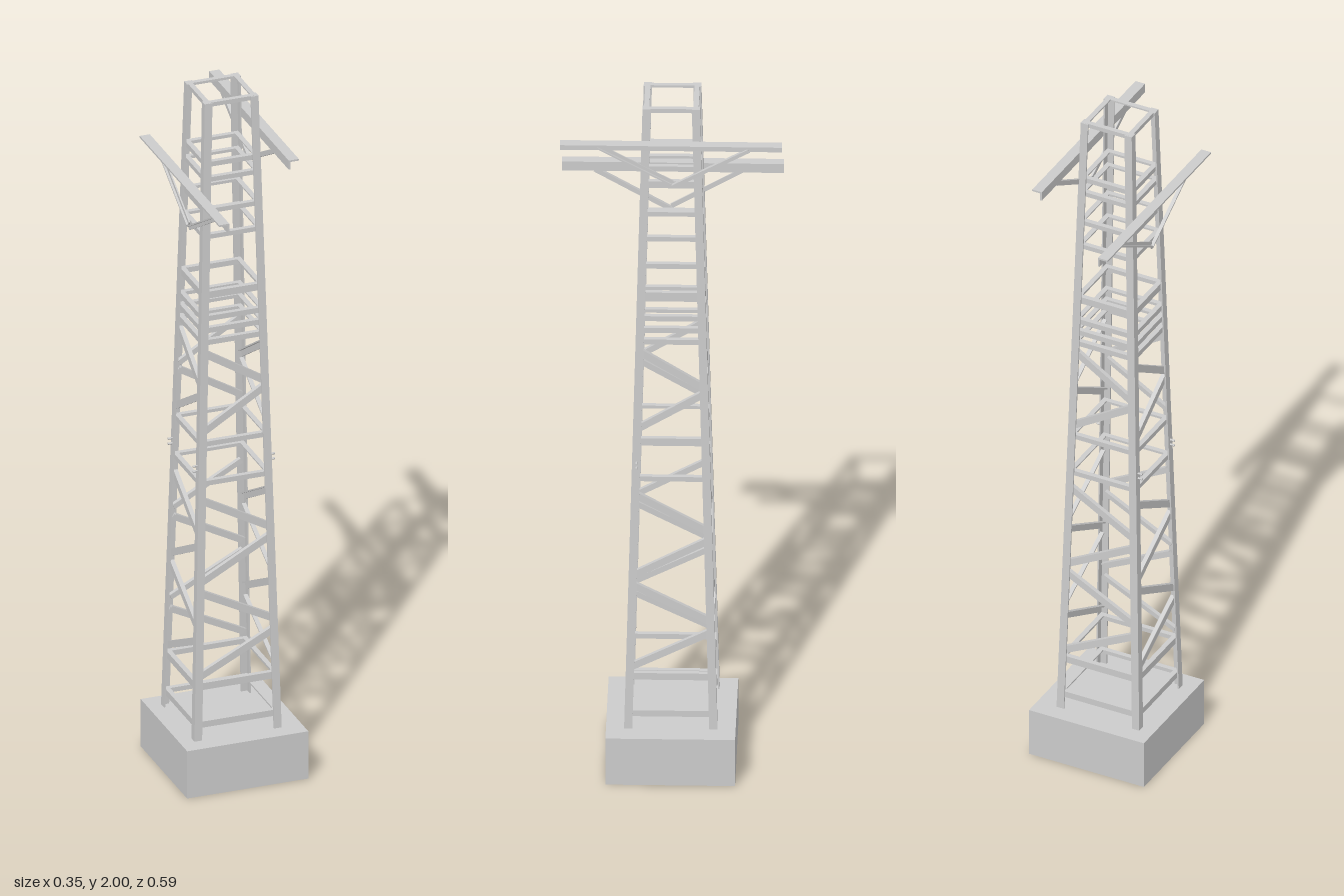
import * as THREE from 'three';

const V = (x, y, z) => new THREE.Vector3(x, y, z);
const grey = new THREE.MeshStandardMaterial({ color: 0xcccccc, flatShading: true });

function addMesh(parent, name, geometry) {
  const mesh = new THREE.Mesh(geometry, grey);
  mesh.name = name;
  parent.add(mesh);
  return mesh;
}

// L-section bar from a to b: flange w1 along u, flange w2 along (direction x u)
function angleBar(parent, name, a, b, u, w1, w2, t = 0.004) {
  const dir = b.clone().sub(a);
  const length = dir.length();
  dir.normalize();
  const uu = u.clone().addScaledVector(dir, -u.dot(dir)).normalize();
  const vv = dir.clone().cross(uu);
  const section = new THREE.Shape([
    [0, 0], [w1, 0], [w1, t], [t, t], [t, w2], [0, w2],
  ].map(([x, y]) => new THREE.Vector2(x, y)));
  const geometry = new THREE.ExtrudeGeometry(section, { depth: length, bevelEnabled: false });
  geometry.applyMatrix4(new THREE.Matrix4().makeBasis(uu, vv, dir).setPosition(a));
  return addMesh(parent, name, geometry);
}

// half width of the tapering tower at height y
const half = (y) => 0.125 - ((y - 0.14) / 1.86) * 0.048;

// one lattice side facing +z
function buildSide() {
  const side = new THREE.Group();
  side.name = 'latticeSide';
  const inset = 0.004;

  // [top height, plate depth] of the horizontal bars
  const rails = [
    [2.0, 0.012], [1.827, 0.014], [1.782, 0.013], [1.69, 0.013], [1.615, 0.013],
    [1.448, 0.02], [1.377, 0.015], [1.342, 0.015], [1.307, 0.015],
    [1.01, 0.014], [0.895, 0.014], [0.305, 0.02], [0.193, 0.018],
  ];
  for (const [y, depth] of rails) {
    const h = half(y) - inset;
    angleBar(side, 'horizontalBar', V(-h, y, h), V(h, y, h), V(0, -1, 0), depth, 0.014);
  }

  // zigzag diagonals, alternating falling and rising
  const zigzag = (heights) => heights.forEach((y, i) => {
    const fall = i % 2 === 0 ? 1 : -1;
    const end = (s) => {
      const yy = y - s * fall * 0.053;
      const h = half(yy) - inset;
      return V(s * (h - 0.008), yy, h);
    };
    const a = end(-1), b = end(1);
    const dir = b.clone().sub(a).normalize();
    const u = V(dir.y, -dir.x, 0).normalize();
    const width = 0.02;
    a.addScaledVector(u, -width / 2);
    b.addScaledVector(u, -width / 2);
    angleBar(side, 'diagonalBar', a, b, u, width, 0.012);
  });
  zigzag([1.215, 1.09]);
  zigzag([0.785, 0.65, 0.515, 0.375]);
  return side;
}

// cross arm along z with its two struts, on the side given by sx
function buildArm(name, sx, x, top, strutFoot) {
  const arm = new THREE.Group();
  arm.name = name;
  angleBar(arm, 'armBeam', V(x, top, -0.297 * sx), V(x, top, 0.297 * sx),
    V(0, -1, 0), 0.027, 0.029, 0.005);
  for (const s of [-1, 1]) {
    angleBar(arm, 'armStrut', V(x, strutFoot, 0), V(x, top - 0.018, 0.205 * s),
      V(sx, 0, 0), 0.01, 0.013);
  }
  return arm;
}

export function createModel() {
  const model = new THREE.Group();
  model.name = 'latticeTower';

  // foundation
  addMesh(model, 'foundationBlock', new THREE.BoxGeometry(0.347, 0.14, 0.347))
    .position.set(0, 0.07, 0);

  const tower = new THREE.Group();
  tower.name = 'tower';
  tower.position.x = -0.009;
  model.add(tower);

  // corner legs
  const h0 = half(0.13), h1 = half(2);
  for (const sx of [-1, 1]) {
    for (const sz of [-1, 1]) {
      const foot = V(sx * h0, 0.13, sz * h0);
      const head = V(sx * h1, 2, sz * h1);
      const [a, b] = sx === sz ? [head, foot] : [foot, head];
      angleBar(tower, 'cornerLeg', a, b, V(-sx, 0, 0), 0.022, 0.022);
    }
  }

  // four lattice sides
  for (let k = 0; k < 4; k++) {
    const side = buildSide();
    side.rotation.y = (k * Math.PI) / 2;
    tower.add(side);
  }

  // small bolts on three legs
  const hb = half(0.93);
  for (const [sx, sz] of [[-1, 1], [-1, -1], [1, 1]]) {
    for (const y of [0.925, 0.94]) {
      const bolt = addMesh(tower, 'bolt', new THREE.CylinderGeometry(0.003, 0.003, 0.016, 6));
      bolt.rotation.z = Math.PI / 2;
      bolt.position.set(sx * (hb + 0.005), y, sz * (hb - 0.012));
    }
  }

  // cross arms
  model.add(buildArm('upperArm', 1, 0.07, 1.905, 1.775));
  model.add(buildArm('lowerArm', -1, -0.1, 1.747, 1.61));
  return model;
}
